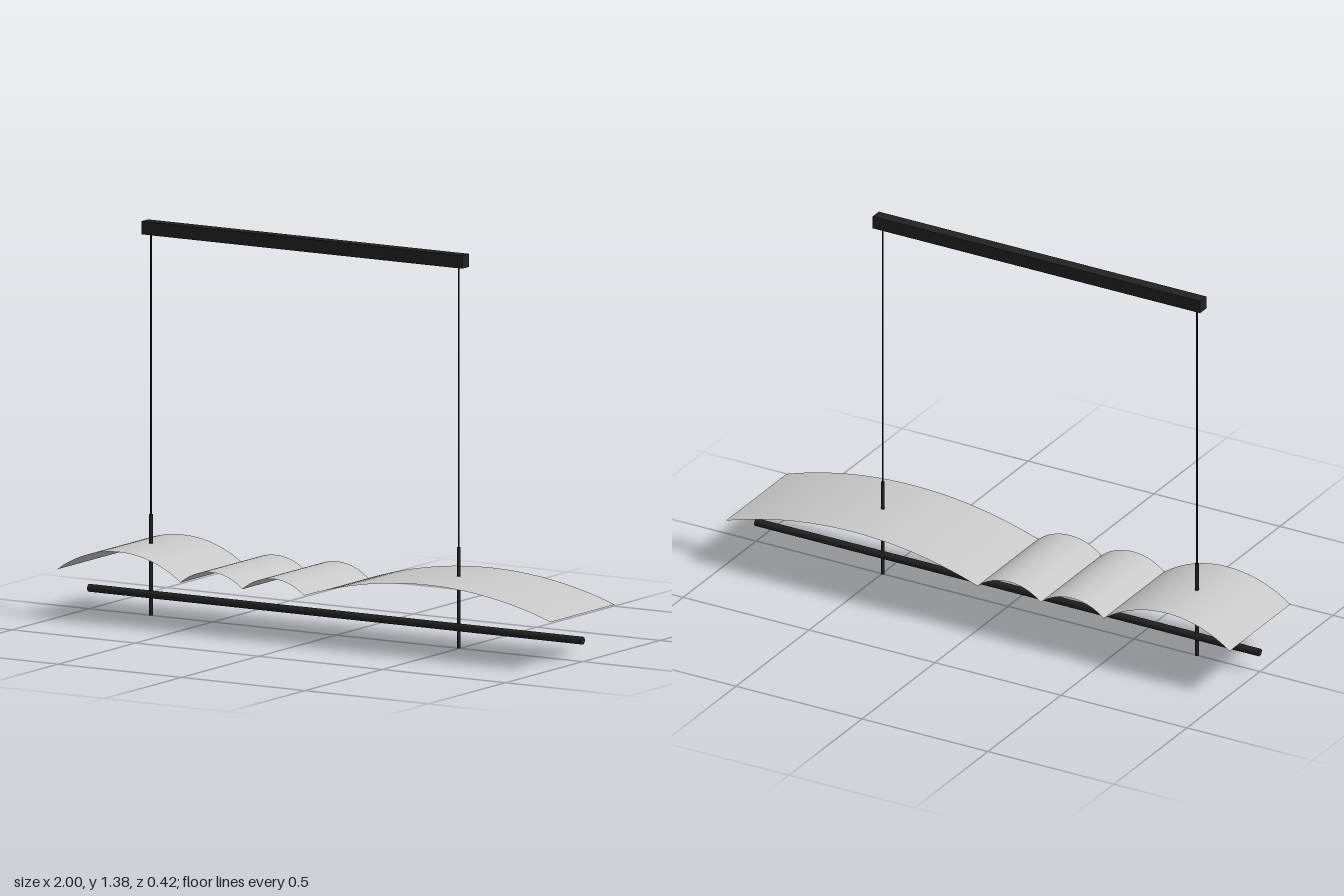
import * as THREE from 'three';

const black = new THREE.MeshStandardMaterial({ name: 'matte black', color: 0x222222 });
const shadeGrey = new THREE.MeshStandardMaterial({ name: 'pale grey', color: 0xc8c8c8, side: THREE.DoubleSide });

function addMesh(parent, name, geometry, material, x, y, z = 0) {
  const mesh = new THREE.Mesh(geometry, material);
  mesh.name = name;
  mesh.position.set(x, y, z);
  parent.add(mesh);
  return mesh;
}

// Upright cylinder between two heights
function upright(parent, name, radius, x, y0, y1) {
  return addMesh(parent, name, new THREE.CylinderGeometry(radius, radius, y1 - y0, 16), black, x, (y0 + y1) / 2);
}

// Thin sheet bent into a circular arch from x0 to x1, rising by the given amount
function archGeometry(x0, x1, base, rise, depth) {
  const half = (x1 - x0) / 2;
  const mid = (x0 + x1) / 2;
  const radius = (half * half + rise * rise) / (2 * rise);
  const sweep = Math.asin(half / radius);
  const geometry = new THREE.PlaneGeometry(2, depth, 32, 1);
  geometry.rotateX(-Math.PI / 2);
  const p = geometry.attributes.position;
  const n = geometry.attributes.normal;
  for (let i = 0; i < p.count; i++) {
    const a = p.getX(i) * sweep;
    p.setX(i, mid + radius * Math.sin(a));
    p.setY(i, base + rise - radius * (1 - Math.cos(a)));
    n.setXYZ(i, Math.sin(a), Math.cos(a), 0);
  }
  return geometry;
}

export function createModel() {
  const model = new THREE.Group();
  model.name = 'pendantLamp';

  // Ceiling bar
  addMesh(model, 'ceilingBar', new THREE.BoxGeometry(1.3, 0.046, 0.042), black, -0.125, 1.352);

  // Suspension cables and the posts that carry shade and tube
  for (const [side, x] of [['right', -0.75], ['left', 0.497]]) {
    upright(model, side + 'Cable', 0.003, x, 0.35, 1.33);
    upright(model, side + 'Post', 0.0065, x, 0, 0.353);
  }

  // Long horizontal light tube
  const tube = addMesh(model, 'lightTube', new THREE.CylinderGeometry(0.0135, 0.0135, 2, 24), black, 0, 0.073);
  tube.rotation.z = Math.PI / 2;

  // Wavy shade made of four arches
  const shade = new THREE.Group();
  shade.name = 'shade';
  const arches = [[-1, -0.5, 0.083], [-0.5, -0.25, 0.047], [-0.25, 0, 0.047], [0, 1, 0.083]];
  arches.forEach(([x0, x1, rise], i) => {
    addMesh(shade, 'shadeArch' + (i + 1), archGeometry(x0, x1, 0.168, rise, 0.416), shadeGrey, 0, 0);
  });
  model.add(shade);

  return model;
}
